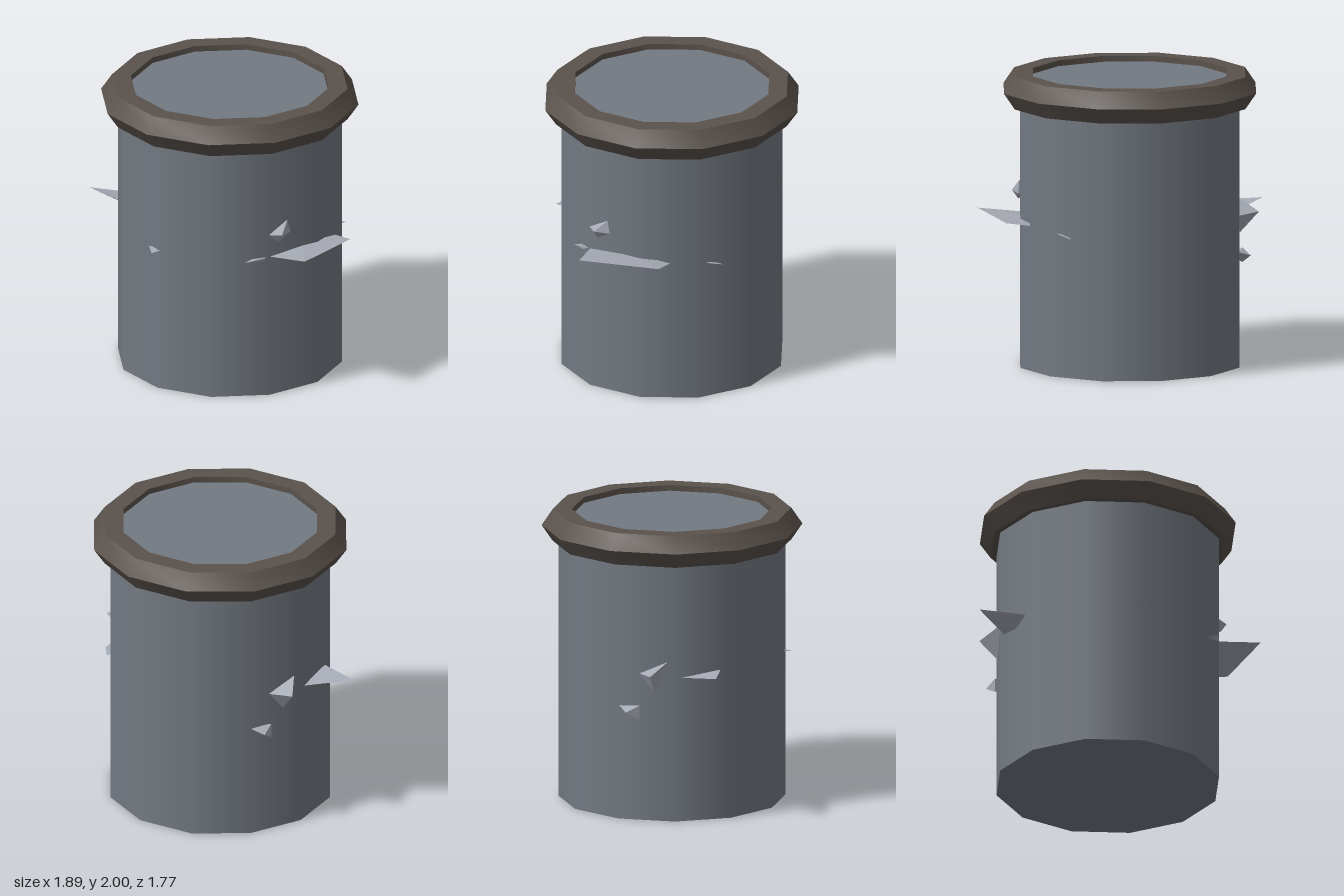
import * as THREE from 'three';
import { toCreasedNormals } from 'three/addons/utils/BufferGeometryUtils.js';
import { ConvexGeometry } from 'three/addons/geometries/ConvexGeometry.js';

const SIDES = 12;
const CENTRE_X = 0.06;

// Each chip: exposed corners, in model space
const CHIPS = {
  largeSideChip: [[0.94, 1.03, 0.31], [0.71, 1.05, 0.81], [0.44, 1.01, 0.66], [0.82, 1.01, 0.2]],
  smallFrontChip: [[0.28, 0.97, 0.71], [0.33, 1.0, 0.75], [0.43, 1.01, 0.68], [0.4, 0.99, 0.7]],
  upperChip: [[0.44, 1.17, 0.67], [0.55, 1.25, 0.57], [0.57, 1.16, 0.56], [0.5, 1.11, 0.63], [0.53, 1.17, 0.66]],
  leftChip: [[-0.95, 1.05, -0.27], [-0.7, 1.04, -0.08], [-0.62, 1.0, -0.34], [-0.68, 0.97, -0.2]],
  backChip: [[-0.6, 1.03, -0.58], [-0.43, 1.02, -0.56], [-0.57, 1.11, -0.42], [-0.51, 0.89, -0.49]],
  lowerBackChip: [[-0.33, 0.79, -0.66], [-0.45, 0.8, -0.57], [-0.45, 0.7, -0.57], [-0.43, 0.76, -0.67]],
  frontSliver: [[-0.39, 1.02, 0.63], [-0.3, 1.01, 0.67], [-0.33, 1.0, 0.68], [-0.36, 1.0, 0.71]],
  sideSliver: [[0.82, 0.99, -0.05], [0.84, 0.985, -0.1], [0.81, 0.96, -0.17]],
};

function chipGeometry(corners) {
  const points = corners.map((c) => new THREE.Vector3(...c));
  // Buried root, pulled towards the axis of the drum
  const root = new THREE.Vector3();
  points.forEach((p) => root.addScaledVector(p, 1 / points.length));
  root.x = CENTRE_X + (root.x - CENTRE_X) * 0.85;
  root.z *= 0.85;
  return new ConvexGeometry([...points, root]);
}

export function createModel() {
  const model = new THREE.Group();
  const stone = new THREE.MeshStandardMaterial({ color: 0x737a82 });
  const rimMaterial = new THREE.MeshStandardMaterial({ color: 0x5a524c });
  const chipMaterial = new THREE.MeshStandardMaterial({ color: 0xa6aab4 });

  function add(name, geometry, material) {
    const mesh = new THREE.Mesh(geometry, material);
    mesh.name = name;
    model.add(mesh);
    return mesh;
  }

  // Drum body, its top recessed slightly below the rim
  const body = add('body', new THREE.CylinderGeometry(0.77, 0.77, 1.78, SIDES), stone);
  body.position.set(CENTRE_X, 0.89, 0);
  const top = add('topPanel', new THREE.CylinderGeometry(0.69, 0.69, 0.18, SIDES), stone);
  top.position.set(CENTRE_X, 1.87, 0);

  // Bevelled rim with a straight inner wall
  const profile = [[0.68, 1.78], [0.81, 1.78], [0.885, 1.89], [0.81, 2], [0.68, 2], [0.68, 1.78]]
    .map(([r, y]) => new THREE.Vector2(r, y));
  const rim = add('rim', toCreasedNormals(new THREE.LatheGeometry(profile, SIDES), 0.7), rimMaterial);
  rim.position.x = CENTRE_X;

  // Sharp chips breaking through the wall
  for (const [name, corners] of Object.entries(CHIPS)) {
    add(name, chipGeometry(corners), chipMaterial);
  }
  return model;
}
